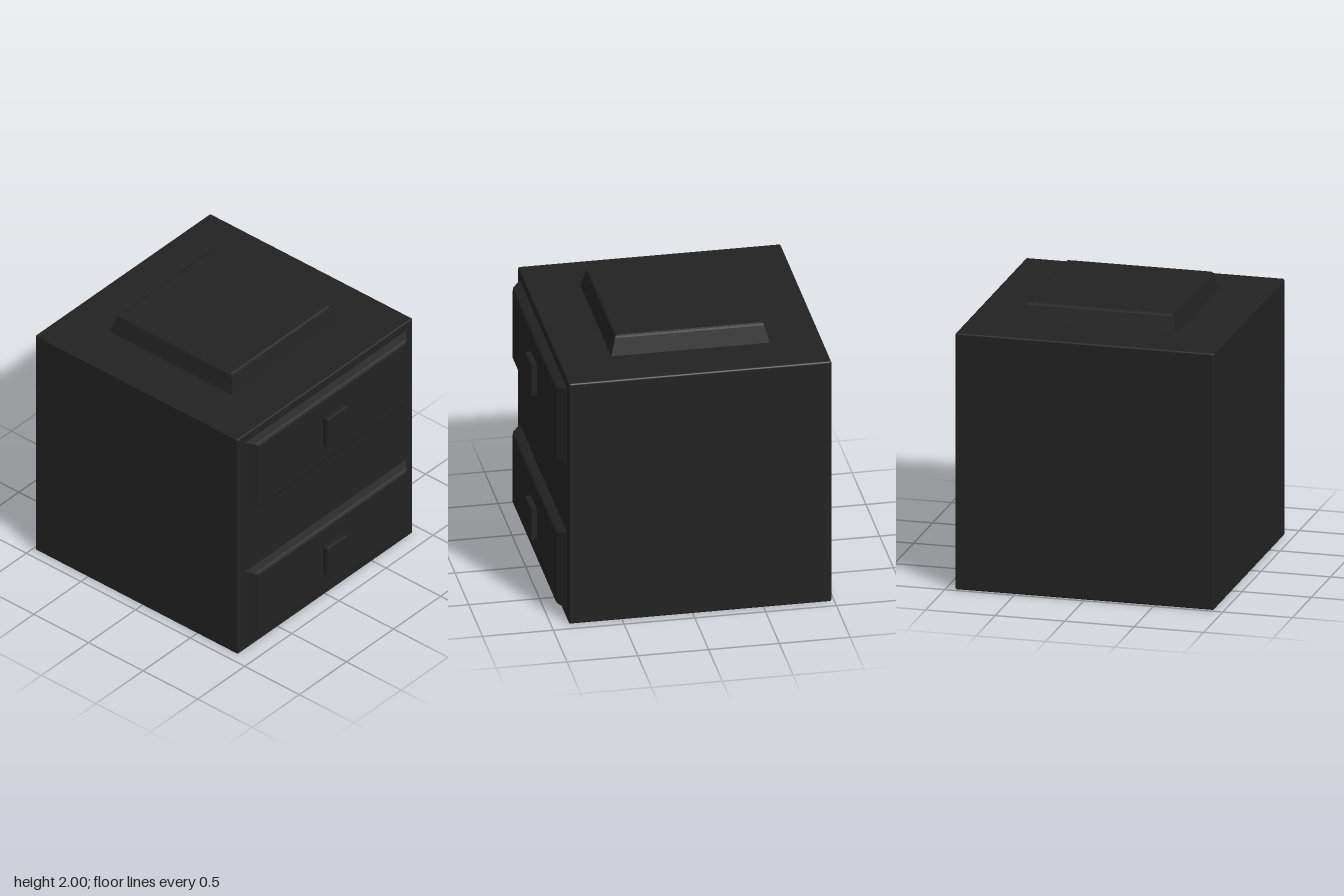
import * as THREE from 'three';
import { RoundedBoxGeometry } from 'three/addons/geometries/RoundedBoxGeometry.js';

const material = new THREE.MeshStandardMaterial({ color: 0x222222 });

// Stacks rectangles [halfWidth, halfHeight, z] along +z and caps the last one.
function taperedPanel(rings) {
  const corners = [[-1, -1], [1, -1], [1, 1], [-1, 1]];
  const positions = [];
  for (const [w, h, z] of rings) for (const [x, y] of corners) positions.push(x * w, y * h, z);
  const index = [];
  for (let r = 0; r < rings.length - 1; r++) {
    for (let i = 0; i < 4; i++) {
      const a = r * 4 + i, b = r * 4 + (i + 1) % 4;
      index.push(a, b, b + 4, a, b + 4, a + 4);
    }
  }
  const last = (rings.length - 1) * 4;
  index.push(last, last + 1, last + 2, last, last + 2, last + 3);
  const indexed = new THREE.BufferGeometry();
  indexed.setAttribute('position', new THREE.Float32BufferAttribute(positions, 3));
  indexed.setIndex(index);
  const geometry = indexed.toNonIndexed();
  geometry.computeVertexNormals();
  return geometry;
}

function addPart(parent, name, geometry, x, y, z) {
  const mesh = new THREE.Mesh(geometry, material);
  mesh.name = name;
  mesh.position.set(x, y, z);
  parent.add(mesh);
  return mesh;
}

export function createModel() {
  const model = new THREE.Group();
  model.name = 'drawerCabinet';

  // Cabinet body with finely softened edges
  addPart(model, 'cabinetBody', new RoundedBoxGeometry(1.86, 1.86, 1.855, 2, 0.012), 0, 0.93, -0.0525);

  // Raised tapered block on top
  const topBlock = taperedPanel([
    [0.56, 0.56, 0], [0.527, 0.527, 0.122], [0.522, 0.522, 0.134], [0.51, 0.51, 0.14],
  ]);
  addPart(model, 'topBlock', topBlock, 0, 1.86, -0.055).rotation.x = -Math.PI / 2;

  // Two drawers, each with a bevelled front and a square knob
  const front = taperedPanel([
    [0.855, 0.297, 0], [0.808, 0.28, 0.046], [0.795, 0.272, 0.06], [0.775, 0.26, 0.067],
  ]);
  const knob = taperedPanel([
    [0.104, 0.12, -0.01], [0.104, 0.12, 0.034], [0.102, 0.117, 0.041], [0.095, 0.11, 0.044],
  ]);
  for (const [name, y] of [['upperDrawer', 1.495], ['lowerDrawer', 0.378]]) {
    const drawer = new THREE.Group();
    drawer.name = name;
    drawer.position.set(0, y, 0.875);
    addPart(drawer, 'drawerFront', front, 0, 0, 0);
    addPart(drawer, 'drawerKnob', knob, 0, 0, 0.066);
    model.add(drawer);
  }
  return model;
}
